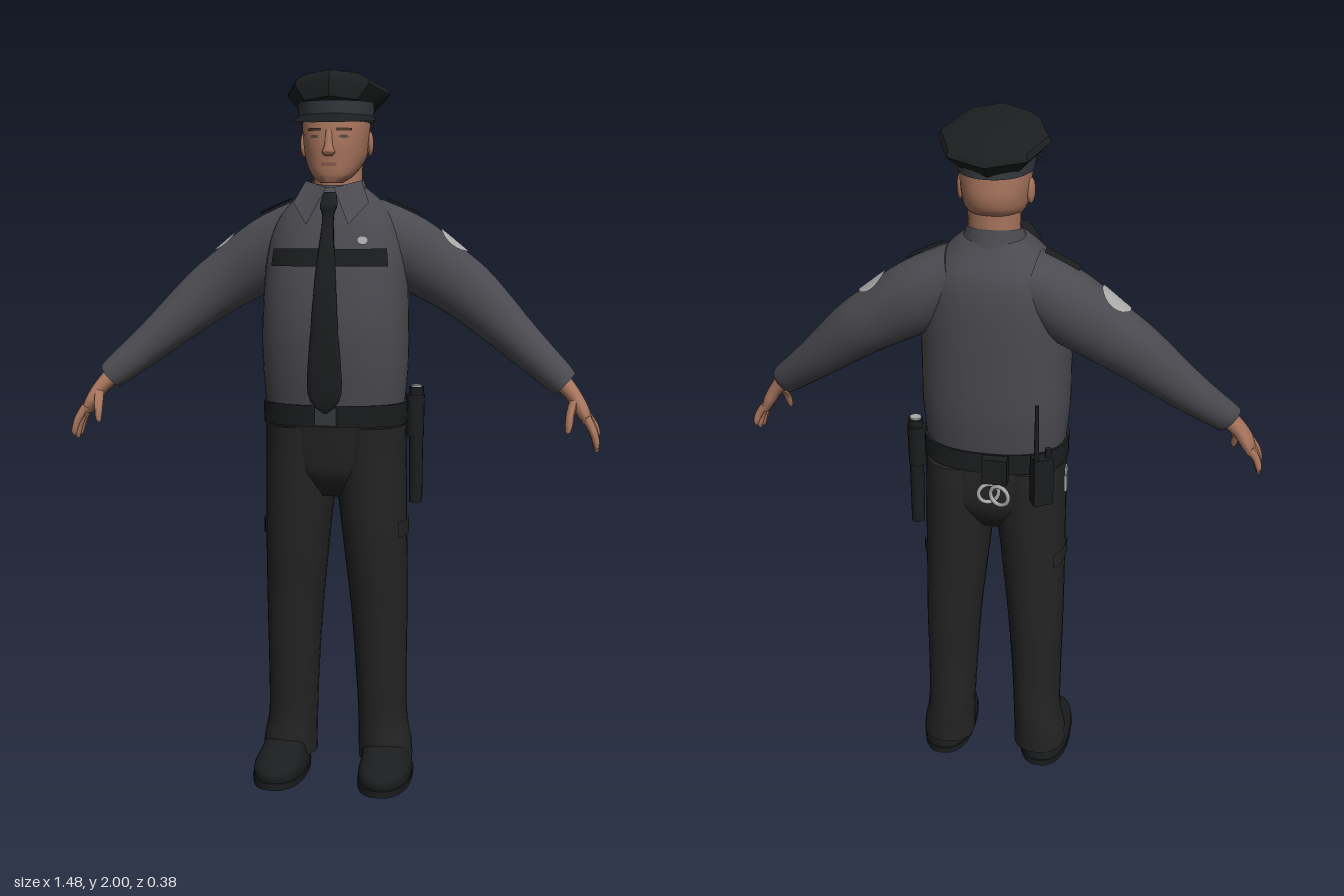
import * as THREE from 'three';
import { mergeVertices, toCreasedNormals } from 'three/addons/utils/BufferGeometryUtils.js';

const mat = (name, color, side = THREE.FrontSide) => {
  const m = new THREE.MeshStandardMaterial({ color, side });
  m.name = name;
  return m;
};

// Smooth interpolation between neighbouring section values
const blend = (a, b, c, d, t) =>
  b + 0.5 * t * (c - a + t * (2 * a - 5 * b + 4 * c - d + t * (3 * (b - c) + d - a)));

// Surface through sections [x, y, z, radiusA, radiusZ, tilt], listed bottom to top
function surface(sec, e = 1) {
  const last = sec.length - 1;
  return (u, v, off = 0, k = 1) => {
    const i = Math.min(Math.max(Math.floor(v), 0), last - 1), t = v - i;
    const s = (j) => sec[Math.min(Math.max(j, 0), last)];
    const [x, y, z, a, b, tilt = 0] = sec[0].map((_, n) =>
      blend(s(i - 1)[n], s(i)[n], s(i + 1)[n], s(i + 2)[n], t));
    const pow = (c) => Math.sign(c) * Math.abs(c) ** e;
    const p = pow(Math.cos(u * Math.PI * 2)) * (a + off) * k;
    const q = pow(Math.sin(u * Math.PI * 2)) * (b + off) * k;
    return [x + p * Math.cos(tilt), y + p * Math.sin(tilt), z + q];
  };
}

// Mesh over a rule f(s, t) with s and t from 0 to 1
function grid(f, nu, nv, crease = 0.9) {
  const pos = [], index = [], w = nu + 1;
  for (let j = 0; j <= nv; j++)
    for (let i = 0; i <= nu; i++) pos.push(...f(i / nu, j / nv));
  for (let j = 0; j < nv; j++)
    for (let i = 0; i < nu; i++) {
      const a = j * w + i, b = a + 1, c = a + w, d = c + 1;
      index.push(a, c, b, b, c, d);
    }
  const g = new THREE.BufferGeometry();
  g.setAttribute('position', new THREE.Float32BufferAttribute(pos, 3));
  g.setIndex(index);
  return toCreasedNormals(mergeVertices(g, 1e-5), crease);
}

// Closed, capped body through the sections
function loft(sec, e = 1, n = 24, steps = 4) {
  const f = surface(sec, e), last = sec.length - 1, rows = last * steps;
  return grid((s, t) => {
    const j = Math.round(t * (rows + 2)) - 1;
    const v = Math.min(Math.max(j, 0), rows) / steps;
    return f(s % 1, v, 0, j < 0 || j > rows ? 0 : 1);
  }, n, rows + 2);
}

// Thin painted plates lying on a surface
const plate = (f, u0, u1, v0, v1, off = 0.004) =>
  grid((s, t) => f(u0 + (u1 - u0) * s, v0 + (v1 - v0) * t, off), 10, 6);
const disc = (f, u, v, ru, rv, off = 0.004) =>
  grid((s, t) => f(u + ru * t * Math.cos(-s * Math.PI * 2), v + rv * t * Math.sin(-s * Math.PI * 2), off), 20, 4);

// Mirror across x, keeping faces outward
function mirror(geo) {
  const g = (geo.index ? geo.toNonIndexed() : geo.clone()).scale(-1, 1, 1);
  for (const a of Object.values(g.attributes))
    for (let i = 0; i < a.count; i += 3)
      for (let k = 0; k < a.itemSize; k++) {
        const t = a.getComponent(i + 1, k);
        a.setComponent(i + 1, k, a.getComponent(i + 2, k));
        a.setComponent(i + 2, k, t);
      }
  return g;
}

export function createModel() {
  const model = new THREE.Group();
  model.name = 'uniformedOfficer';
  const shirt = mat('shirt grey', 0x4a4a50, THREE.DoubleSide), trousers = mat('trouser black', 0x242424);
  const black = mat('gear black', 0x1b1d1e, THREE.DoubleSide), band = mat('band grey', 0x35393d);
  const skin = mat('skin', 0xa8755d), silver = mat('patch silver', 0xa9a9a9);
  const brow = mat('brow brown', 0x4a3428), lip = mat('lip', 0x8d594a), eye = mat('eye', 0x5a4a42);
  const add = (name, geo, m) => {
    const mesh = new THREE.Mesh(geo, m);
    mesh.name = name;
    model.add(mesh);
    return mesh;
  };
  const pair = (name, geo, m) => {
    add(name + 'Left', geo, m);
    add(name + 'Right', mirror(geo), m);
  };
  const place = (geo, x, y, z, ry = 0) => geo.rotateY(ry).translate(x, y, z);

  // Shirt body
  const torsoSec = [[0, 1.08, 0, .195, .142], [0, 1.2, 0, .205, .157], [0, 1.32, 0, .205, .162],
    [0, 1.45, -.01, .2, .155], [0, 1.54, -.02, .188, .143], [0, 1.6, -.024, .165, .127],
    [0, 1.65, -.022, .125, .102], [0, 1.685, -.025, .083, .08]];
  const torso = surface(torsoSec, .85);
  add('shirtBody', loft(torsoSec, .85, 32), shirt);
  pair('pocketFlap', plate(torso, .113, .24, 3.22, 3.75, .007), black);
  add('badge', disc(torso, .178, 4.05, .014, .16), silver);

  // Collar and tie
  const collar = surface([[0, 1.655, -.02, .092, .092], [0, 1.705, -.028, .074, .072]], 1);
  add('collarBand', grid((s, t) => {
    const p = collar(s % 1, t);
    return [p[0], p[1] - .2 * (p[2] + .02), p[2]];
  }, 24, 3), shirt);
  const flap = [[.01, 1.685, .085], [.058, 1.585, .13], [.078, 1.705, .035], [.105, 1.645, .075]]
    .map((p) => new THREE.Vector3(...p));
  pair('collarPoint', grid((s, t) => flap[0].clone().lerp(flap[1], s)
    .lerp(flap[2].clone().lerp(flap[3], s), t).toArray(), 3, 3), shirt);
  add('tie', loft([[0, 1.075, .163, .004, .004], [0, 1.13, .168, .047, .006], [0, 1.3, .171, .038, .006],
    [0, 1.45, .154, .028, .006], [0, 1.595, .117, .016, .006], [0, 1.635, .108, .024, .012],
    [0, 1.672, .085, .018, .01]], .6, 12), black);

  // Sleeves with shoulder patches and straps
  const armSec = [[.642, 1.158, .062, .04, .038, .84], [.62, 1.178, .05, .045, .044, .84],
    [.52, 1.265, .005, .058, .057, .84], [.385, 1.385, -.04, .08, .068, .86],
    [.3, 1.445, -.052, .09, .073, .95], [.2, 1.51, -.055, .1, .085, 1.1], [.1, 1.57, -.045, .088, .09, 1.3]];
  const arm = surface(armSec);
  pair('sleeve', loft(armSec), shirt);
  pair('shoulderPatch', disc(arm, 0, 4.25, .085, .38), silver);
  pair('shoulderStrap', plate(arm, -.03, .04, 5.15, 5.85, .009), black);

  // Hands
  pair('palm', loft([[.705, 1.06, .085, .014, .04, .5], [.69, 1.09, .082, .019, .043, .6],
    [.665, 1.13, .072, .021, .034, .75], [.63, 1.168, .056, .026, .028, .84]], .9, 14), skin);
  for (let i = 0; i < 4; i++) {
    const z = .054 + i * .021, tip = .047 + i * .029, drop = [.03, .008, 0, .012][i];
    pair('finger' + (i + 1), loft([[.731, .982 + drop, tip, .005, .005, .3], [.73, .995 + drop, tip, .009, .009, .3],
      [.72, 1.035 + drop / 2, (z + tip) / 2 + .003, .011, .011, .4], [.7, 1.075, z, .013, .012, .5]], 1, 8, 3), skin);
  }
  pair('thumb', loft([[.655, 1.035, .142, .006, .006, .2], [.656, 1.05, .139, .01, .01, .2],
    [.66, 1.085, .124, .013, .012, .3], [.668, 1.125, .09, .015, .016, .5]], 1, 8, 3), skin);

  // Trousers
  add('hips', loft([[0, .83, -.01, .06, .08], [0, .89, -.01, .15, .12], [0, .95, -.01, .192, .132],
    [0, 1.09, 0, .195, .138]], .85, 28), trousers);
  const legSec = [[.142, .05, -.035, .078, .085], [.14, .1, -.033, .076, .09], [.133, .17, -.036, .07, .09],
    [.129, .3, -.03, .072, .094], [.123, .5, -.025, .08, .105], [.112, .7, -.014, .09, .118],
    [.104, .84, -.012, .097, .125], [.1, .95, -.01, .099, .13], [.1, 1.03, -.005, .097, .132]];
  const leg = surface(legSec, .9);
  pair('trouserLeg', loft(legSec, .9), trousers);
  pair('cargoFlap', plate(leg, -.12, .1, 5.1, 5.4, .005), trousers);

  // Shoes
  pair('shoe', loft([[.152, .018, .034, .074, .15], [.152, .045, .034, .073, .148], [.149, .07, .012, .066, .118],
    [.143, .1, -.025, .06, .085], [.14, .13, -.035, .05, .07]], .85), black);
  pair('shoeSole', loft([[.152, 0, .035, .075, .154], [.152, .02, .035, .077, .155]], .85, 24, 1), black);

  // Belt and its gear
  add('belt', loft([[0, 1.035, -.002, .203, .146], [0, 1.095, 0, .204, .148]], .85, 32, 1), black);
  add('buckle', place(new THREE.BoxGeometry(.06, .05, .01), 0, 1.065, .15), band);
  add('baton', place(new THREE.CylinderGeometry(.021, .019, .33, 14), .223, .967, -.045), black);
  add('batonCap', place(new THREE.CylinderGeometry(.016, .016, .006, 14), .223, 1.134, -.045), silver);
  add('batonHolder', place(new THREE.CylinderGeometry(.027, .025, .12, 14), .22, 1.05, -.045), black);
  add('radio', place(new THREE.BoxGeometry(.055, .14, .04), -.152, 1.03, -.145, .5), black);
  add('radioKnob', place(new THREE.CylinderGeometry(.009, .009, .03, 10), -.168, 1.11, -.138), black);
  add('antenna', place(new THREE.CylinderGeometry(.005, .007, .17, 8), -.14, 1.18, -.165), black);
  add('cuffPouch', place(new THREE.BoxGeometry(.07, .075, .035), -.025, 1.055, -.158), black);
  for (const s of [-1, 1])
    add('handcuff' + (s < 0 ? 'Right' : 'Left'),
      place(new THREE.TorusGeometry(.028, .006, 8, 20), -.025 + s * .016, .985, -.172 + s * .005, s * .35), silver);
  add('keyRing', place(new THREE.TorusGeometry(.015, .003, 6, 14), -.206, 1.015, -.05, Math.PI / 2), silver);
  add('keys', place(new THREE.BoxGeometry(.008, .05, .018), -.206, .975, -.05), silver);

  // Head
  add('neck', loft([[0, 1.6, -.03, .07, .07], [0, 1.68, -.033, .068, .064], [0, 1.77, -.035, .07, .064]]), skin);
  const headSec = [[0, 1.698, .06, .03, .036], [0, 1.72, .04, .058, .064], [0, 1.76, .002, .08, .105],
    [0, 1.8, -.008, .088, .117], [0, 1.85, -.01, .092, .115], [0, 1.9, -.012, .09, .11]];
  const head = surface(headSec, .9);
  add('head', loft(headSec, .9, 32), skin);
  add('nose', loft([[0, 1.768, .106, .01, .01], [0, 1.778, .109, .018, .016], [0, 1.8, .108, .011, .012],
    [0, 1.84, .098, .01, .01]], 1, 12), skin);
  add('lips', plate(head, .212, .288, 1.56, 1.78, .002), lip);
  pair('eye', disc(head, .183, 3.42, .024, .09, .002), eye);
  pair('eyebrow', plate(head, .145, .22, 3.72, 3.86, .003), brow);
  pair('ear', place(new THREE.SphereGeometry(1, 12, 10).scale(.009, .034, .019), .093, 1.805, -.02, .25), skin);

  // Cap
  add('capBand', loft([[0, 1.862, -.01, .1, .12], [0, 1.915, -.008, .106, .122]], .95, 32, 1), band);
  const crown = loft([[0, 1.9, -.01, .104, .12], [0, 1.947, -.036, .145, .138],
    [0, 1.962, -.034, .138, .13], [0, 1.979, -.02, .1, .1]], 1, 8, 1);
  const cp = crown.attributes.position;
  for (let i = 0; i < cp.count; i++) cp.setY(i, cp.getY(i) + .24 * cp.getZ(i));
  add('capCrown', toCreasedNormals(crown.deleteAttribute('normal'), .6), black);
  add('capVisor', grid((s, t) => {
    const a = Math.PI * (.06 + .88 * s), k = Math.sin(a);
    return [Math.cos(a) * (.1 + .02 * t), 1.882 - .012 * t - .016 * t * k, -.01 + k * (.12 + .048 * t)];
  }, 20, 4), black);
  return model;
}
